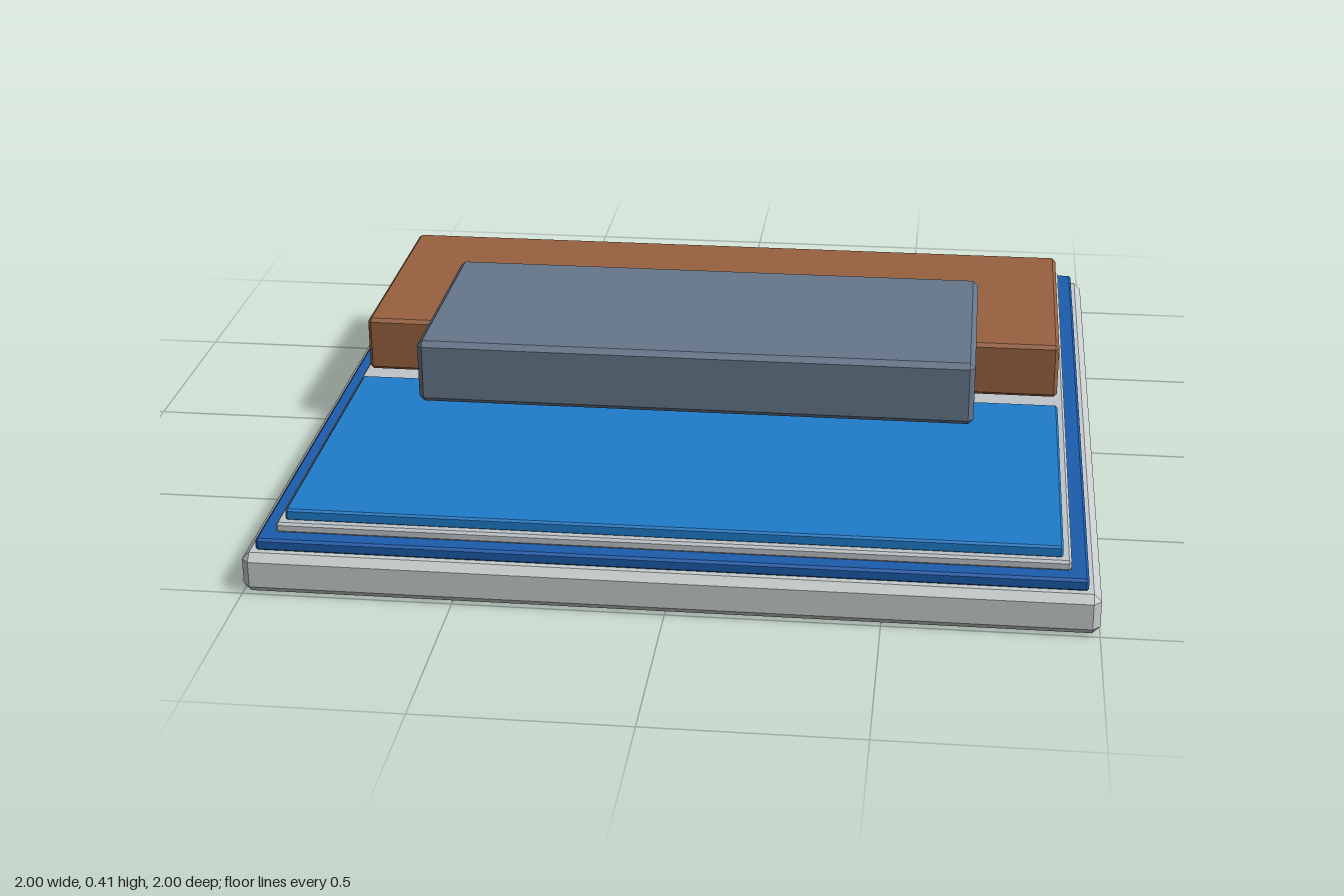
import * as THREE from 'three';
import { ConvexGeometry } from 'three/addons/geometries/ConvexGeometry.js';

const material = (name, color) => {
  const m = new THREE.MeshStandardMaterial({ color });
  m.name = name;
  return m;
};

// Box with every edge cut by a flat chamfer c, given as [min, max] per axis
function chamferBox([x0, x1], [y0, y1], [z0, z1], c) {
  const half = [(x1 - x0) / 2, (y1 - y0) / 2, (z1 - z0) / 2];
  const points = [];
  for (const sx of [-1, 1]) for (const sy of [-1, 1]) for (const sz of [-1, 1]) {
    for (let face = 0; face < 3; face++) {
      const [x, y, z] = half.map((h, axis) => (axis === face ? h : h - c));
      points.push(new THREE.Vector3(sx * x, sy * y, sz * z));
    }
  }
  return new ConvexGeometry(points).translate((x0 + x1) / 2, (y0 + y1) / 2, (z0 + z1) / 2);
}

export function createModel() {
  const group = new THREE.Group();
  const stone = material('pale stone', 0xc8cccc);
  const navy = material('deep blue', 0x1c5cac);
  const grey = material('light grey', 0xbfc5c9);
  const blue = material('bright blue', 0x1f7dcb);
  const brown = material('brown', 0x98623f);
  const slate = material('slate', 0x66768a);

  // Stacked from the ground up: name, material, half width, y range, z range, chamfer
  const parts = [
    ['basePlate', stone, 1, [0, 0.1], [-1, 1], 0.018],
    ['blueBorder', navy, 0.97, [0.098, 0.129], [-0.97, 0.97], 0.006],
    ['innerPanel', grey, 0.93, [0.127, 0.153], [-0.93, 0.93], 0.006],
    ['frontPanel', blue, 0.91, [0.15, 0.18], [0.105, 0.91], 0.005],
    ['rearBlock', brown, 0.91, [0.166, 0.31], [-0.632, 0.03], 0.009],
    ['topBlock', slate, 0.695, [0.243, 0.406], [-0.185, 0.402], 0.013],
  ];
  for (const [name, mat, w, y, z, c] of parts) {
    const mesh = new THREE.Mesh(chamferBox([-w, w], y, z, c), mat);
    mesh.name = name;
    group.add(mesh);
  }
  return group;
}
